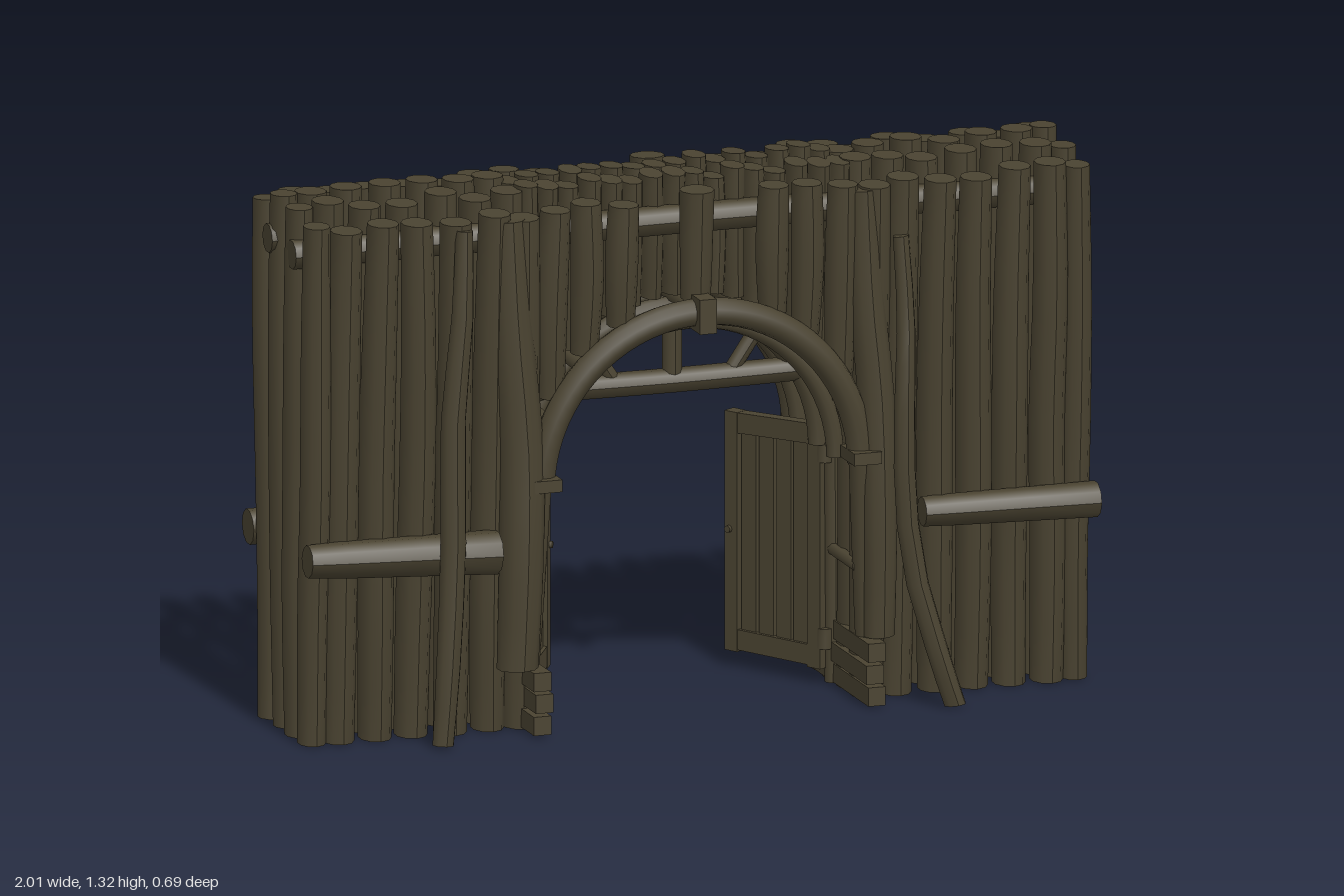
import * as THREE from 'three';

const wood = new THREE.MeshStandardMaterial({ color: 0x4a4331 });
wood.name = 'dark weathered wood';

// Small seeded generator for the natural irregularity of the logs
let seed = 7;
const rnd = (a, b) => {
  seed = (seed * 16807) % 2147483647;
  return a + (b - a) * (seed / 2147483647);
};

// Capped round log that follows a few points, with a radius for each end and a slight bulge
function log(parent, name, pts, r0, r1 = r0, bulge = 0, squash = 1, sides = 10) {
  const curve = new THREE.CatmullRomCurve3(pts.map(p => new THREE.Vector3(...p)));
  const a = curve.getPoint(0), b = curve.getPoint(1);
  const q = new THREE.Quaternion().setFromUnitVectors(
    new THREE.Vector3(0, 1, 0), b.clone().sub(a).normalize());
  const g = new THREE.CylinderGeometry(1, 1, 1, sides, pts.length > 2 ? 10 : 3);
  const pos = g.attributes.position, v = new THREE.Vector3();
  for (let i = 0; i < pos.count; i++) {
    const t = THREE.MathUtils.clamp(pos.getY(i) + 0.5, 0, 1);
    const r = THREE.MathUtils.lerp(r0, r1, t) + bulge * Math.sin(t * Math.PI);
    v.set(pos.getX(i) * r, 0, pos.getZ(i) * r * squash).applyQuaternion(q).add(curve.getPoint(t));
    pos.setXYZ(i, v.x, v.y, v.z);
  }
  g.computeVertexNormals();
  const m = new THREE.Mesh(g, wood);
  m.name = name;
  parent.add(m);
  return m;
}

function box(parent, name, size, at) {
  const m = new THREE.Mesh(new THREE.BoxGeometry(...size), wood);
  m.position.set(...at);
  m.name = name;
  parent.add(m);
  return m;
}

function halfRing(parent, name, radius, tube, z) {
  const m = new THREE.Mesh(new THREE.TorusGeometry(radius, tube, 10, 36, Math.PI), wood);
  m.position.set(0, ARCH_Y, z);
  m.name = name;
  parent.add(m);
}

const ARCH_Y = 0.6;
const SIDE_X = [0.443, 0.52, 0.613, 0.707, 0.802, 0.895, 0.964];
const OUTER_X = [0.19, 0.28, 0.365];
const INNER_X = [0.025, 0.078, 0.131, 0.184, 0.237, 0.29, 0.343, 0.393];

// Four rows of upright logs; those over the gateway stop at the arch
function buildPalisade(parent) {
  const rows = [[0.135, 0.183], [0.045, 0.066], [-0.045, -0.066], [-0.135, -0.183]];
  rows.forEach(([zLow, zHigh], row) => {
    const outer = row === 0 || row === 3;
    const height = () => (outer ? 1.285 : 1.312) + rnd(-0.014, 0.012);
    const zAt = y => THREE.MathUtils.lerp(zLow, zHigh, y / 1.3);

    for (const s of [-1, 1]) {
      // Full-height logs beside the gateway
      for (const x of SIDE_X) {
        const top = height(), w = 0.005;
        const pts = [0, 0.25, 0.5, 0.75, 1].map(t => {
          const y = THREE.MathUtils.lerp(0.008, top, t);
          return [s * x + rnd(-w, w), y, zAt(y) + rnd(-w, w)];
        });
        const r = x > 0.95 ? 0.033 : 0.039;
        log(parent, 'wallLog', pts, r + 0.001, r - 0.001, 0.004, outer ? 1.15 : 1.2);
      }
      // Short logs over the gateway, the inner ones slim and close together
      for (const x of outer ? OUTER_X : INNER_X) {
        const bottom = ARCH_Y + Math.sqrt(0.425 ** 2 - x * x);
        const top = height(), lean = outer ? 0 : rnd(-0.02, 0.02);
        const pts = [0, 0.5, 1].map(t => {
          const y = THREE.MathUtils.lerp(bottom, top, t);
          return [s * x + rnd(-0.004, 0.004), y, zAt(y) + lean * (t - 0.5)];
        });
        if (outer) log(parent, 'lintelLog', pts, 0.033, 0.036, 0.005, 1.1);
        else log(parent, 'lintelLog', pts, 0.027, 0.027, 0.002, 1.7);
      }
    }
    // Centre log above the crown of the arch
    if (outer) log(parent, 'crownLog', [[0, 1.03, zHigh - Math.sign(zHigh) * 0.015],
      [0, 1.3, zHigh - Math.sign(zHigh) * 0.005]], 0.036, 0.042);
  });
  // Long rails tying the rows together near the top
  for (const s of [1, -1]) log(parent, 'topRail',
    [[-1, 1.205, s * 0.085 + 0.012], [0, 1.215, s * 0.115], [1, 1.205, s * 0.085 + 0.012]], 0.036);
}

// Outside dressing of one face, reused for the back by a half turn
function buildFace(archRadius, archTube) {
  const f = new THREE.Group();
  f.name = 'wallFace';

  // Side rails
  log(f, 'sideRail', [[-1, 0.475, 0.212], [-0.52, 0.458, 0.208]], 0.04, 0.054);
  log(f, 'sideRail', [[0.56, 0.465, 0.208], [1, 0.46, 0.212]], 0.036, 0.044);

  // Thick logs that hang beside the gateway
  log(f, 'gateLog', [[-0.47, 0.17, 0.22], [-0.46, 0.45, 0.22], [-0.455, 0.7, 0.205],
    [-0.475, 1, 0.195], [-0.485, 1.27, 0.19]], 0.05, 0.042, 0.008);
  log(f, 'gateLog', [[0.45, 0.17, 0.21], [0.45, 0.45, 0.215], [0.445, 0.75, 0.205],
    [0.425, 1, 0.195], [0.415, 1.27, 0.19]], 0.038, 0.038, 0.006);

  // Crooked branches leaning on the wall
  log(f, 'branch', [[0.605, 0.012, 0.318], [0.57, 0.12, 0.315], [0.51, 0.36, 0.285],
    [0.49, 0.6, 0.28], [0.495, 0.82, 0.272], [0.505, 0.95, 0.248], [0.5, 1.155, 0.226]],
  0.027, 0.02, 0.004, 1, 8);
  log(f, 'branch', [[-0.68, 0.012, 0.28], [-0.665, 0.2, 0.275], [-0.645, 0.5, 0.255],
    [-0.64, 0.8, 0.24], [-0.615, 1.05, 0.235], [-0.605, 1.26, 0.22]], 0.027, 0.022, 0.008, 1, 8);

  // Main arch with its collars, and a thinner arch behind it
  halfRing(f, 'outerArch', archRadius, archTube, 0.205);
  halfRing(f, 'innerArch', 0.367, 0.022, 0.13);
  box(f, 'crownCollar', [0.042, 0.085, 0.1], [0, ARCH_Y + archRadius, 0.21]);
  for (const s of [-1, 1]) {
    box(f, 'archCollar', [0.07, 0.03, 0.1], [s * 0.405, 0.62, 0.21]);
    log(f, 'archPost', [[s * 0.43, 0.16, 0.18], [s * 0.41, 0.62, 0.2]], 0.028, 0.032);
  }
  return f;
}

// Fan of spokes over a tie beam, and short timbers across the depth of the arch
function buildArchway(parent) {
  log(parent, 'tieBeam', [[-0.35, 0.79, 0], [0, 0.787, 0], [0.35, 0.79, 0]], 0.03);
  log(parent, 'spoke', [[0, 0.79, 0], [0, 0.98, 0]], 0.024);
  for (const s of [-1, 1])
    log(parent, 'spoke', [[s * 0.13, 0.77, 0], [s * 0.225, 0.91, 0]], 0.019);
  halfRing(parent, 'middleArch', 0.37, 0.025, 0);
  for (let i = 1; i < 8; i++) {
    const a = (i / 8) * Math.PI;
    const x = Math.cos(a) * 0.4, y = ARCH_Y + Math.sin(a) * 0.4;
    log(parent, 'archPurlin', [[x, y, -0.2], [x, y, 0.2]], 0.018, 0.018, 0, 1, 7);
  }
  for (const s of [-1, 1]) {
    // Stacked sill timbers and rungs on the jamb
    for (let i = 0; i < 3; i++)
      box(parent, 'sillTimber', [0.044, 0.046, 0.54], [s * (0.424 - (i % 2) * 0.005), 0.035 + i * 0.054, 0]);
    for (const y of [0.34, 0.6])
      log(parent, 'jambRung', [[s * 0.405, y, -0.19], [s * 0.405, y, 0.19]], 0.016, 0.016, 0, 1, 7);
    log(parent, 'doorPost', [[s * 0.41, 0.01, 0], [s * 0.405, 0.63, 0]], 0.022);
  }
}

// Boarded door leaf, built along +x from its hinge
function buildDoor() {
  const d = new THREE.Group();
  d.name = 'doorLeaf';
  const W = 0.3;
  for (const [x, h] of [[0.02, 0.61], [W - 0.02, 0.59]])
    box(d, 'doorStile', [0.04, h, 0.034], [x, 0.045 + h / 2, 0]);
  for (const y of [0.075, 0.615]) {
    const rail = box(d, 'doorRail', [W - 0.02, 0.05, 0.032], [W / 2, y, 0]);
    rail.rotation.z = y > 0.3 ? -0.05 : 0;
  }
  for (let i = 0; i < 4; i++)
    box(d, 'doorBoard', [0.046, 0.53, 0.014], [0.068 + i * 0.0545, 0.345, 0]);
  log(d, 'doorHandle', [[W - 0.015, 0.345, -0.025], [W - 0.015, 0.345, 0.025]], 0.009, 0.009, 0, 1, 8);
  for (const y of [0.12, 0.58])
    log(d, 'doorHinge', [[0, y - 0.025, 0], [0, y + 0.025, 0]], 0.02, 0.02, 0, 1, 8);
  return d;
}

export function createModel() {
  seed = 7;
  const model = new THREE.Group();
  model.name = 'timberGateway';
  buildPalisade(model);
  buildArchway(model);

  // The back arch is cut from a thicker timber
  const front = buildFace(0.405, 0.034), back = buildFace(0.395, 0.045);
  back.rotation.y = Math.PI;
  model.add(front, back);

  // Both leaves stand open toward the back
  const open = Math.atan2(0.26, 0.15);
  for (const s of [-1, 1]) {
    const door = buildDoor();
    door.position.set(s * 0.385, 0, 0.005);
    door.rotation.y = s < 0 ? open : Math.PI - open;
    model.add(door);
  }
  return model;
}
